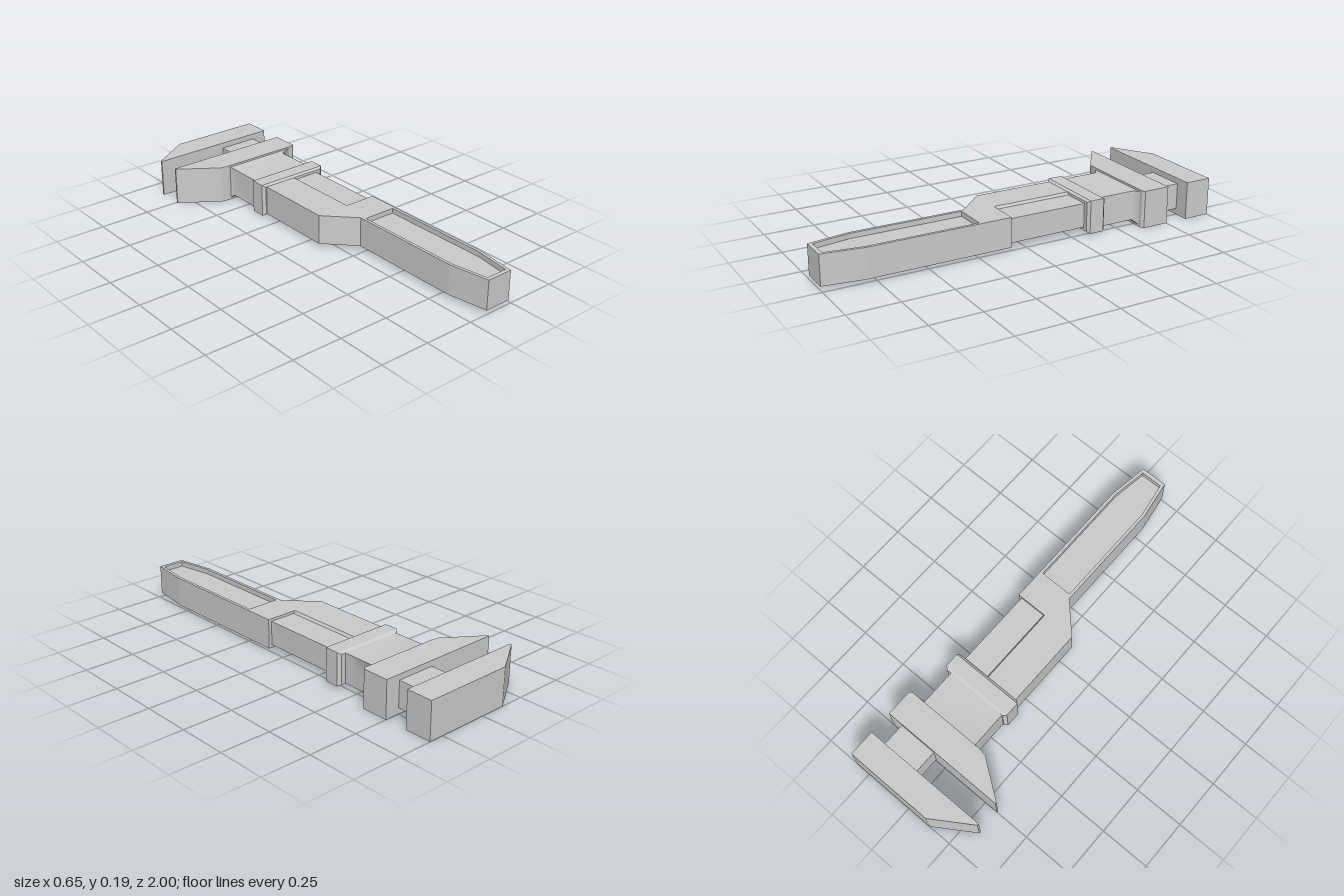
import * as THREE from 'three';
import { mergeVertices } from 'three/addons/utils/BufferGeometryUtils.js';

const material = new THREE.MeshStandardMaterial({ color: 0xcccccc });

// Plate with an [x, z] outline, standing from y0 to y1, with an optional hole
function plate(outline, y0, y1, hole) {
  const toPoints = (list) => list.map(([x, z]) => new THREE.Vector2(x, -z));
  const shape = new THREE.Shape(toPoints(outline));
  if (hole) shape.holes.push(new THREE.Path(toPoints(hole)));
  return new THREE.ExtrudeGeometry(shape, { depth: y1 - y0, bevelEnabled: false })
    .rotateX(-Math.PI / 2).translate(0, y0, 0);
}

// Box-like loft through rectangles [z, x0, x1, y0, y1], listed from front to back
function loft(rings, smooth) {
  const pos = [], index = [];
  const corners = ([z, x0, x1, y0, y1]) => [[x0, y0, z], [x1, y0, z], [x1, y1, z], [x0, y1, z]];
  for (let k = 0; k < 4; k++) {
    rings.forEach((ring, i) => {
      const c = corners(ring), a = pos.length / 3;
      pos.push(...c[k], ...c[(k + 1) % 4]);
      if (i < rings.length - 1) index.push(a, a + 2, a + 1, a + 1, a + 2, a + 3);
    });
  }
  [rings[0], rings[rings.length - 1]].forEach((ring, end) => {
    const a = pos.length / 3;
    corners(ring).forEach((c) => pos.push(...c));
    index.push(...(end ? [a, a + 2, a + 1, a, a + 3, a + 2] : [a, a + 1, a + 2, a, a + 2, a + 3]));
  });
  let geo = new THREE.BufferGeometry();
  geo.setAttribute('position', new THREE.Float32BufferAttribute(pos, 3));
  geo.setIndex(index);
  if (!smooth) geo = geo.toNonIndexed();
  geo.computeVertexNormals();
  return smooth ? geo : mergeVertices(geo);
}

function box(x0, x1, y0, y1, z0, z1) {
  return new THREE.BoxGeometry(x1 - x0, y1 - y0, z1 - z0)
    .translate((x0 + x1) / 2, (y0 + y1) / 2, (z0 + z1) / 2);
}

export function createModel() {
  const model = new THREE.Group();
  model.name = 'adjustableWrench';
  const add = (name, geometry, parent = model) => {
    const mesh = new THREE.Mesh(geometry, material);
    mesh.name = name;
    parent.add(mesh);
  };
  const low = 0.02, high = 0.168, depth = 0.025;

  // Handle: solid core with a raised rim on both faces
  const handle = new THREE.Group();
  handle.name = 'handle';
  model.add(handle);
  const outline = [[-0.07, 0.085], [0.065, 0.225], [0.065, 0.8], [0.097, 1],
    [0.233, 1], [0.262, 0.8], [0.262, 0.085]];
  const recess = [[0.08, 0.245], [0.08, 0.8], [0.11, 0.98],
    [0.22, 0.98], [0.247, 0.8], [0.247, 0.245]];
  add('handleCore', plate(outline, low + depth, high - depth), handle);
  add('handleTopRim', plate(outline, high - depth, high, recess), handle);
  add('handleBottomRim', plate(outline, low, low + depth, recess), handle);

  // Shank, stepped down along its right side
  const section = new THREE.Shape([[-0.07, low], [0.1, low], [0.108, 0.035], [0.245, 0.035],
    [0.245, 0.155], [0.108, 0.155], [0.1, high], [-0.07, high]]
    .map(([x, y]) => new THREE.Vector2(x, y)));
  add('shank', new THREE.ExtrudeGeometry(section, { depth: 0.45, bevelEnabled: false })
    .translate(0, 0, -0.365));

  // Chamfered collar
  add('collar', loft([
    [-0.32, -0.075, 0.268, low, high],
    [-0.332, -0.09, 0.283, 0.012, 0.177],
    [-0.405, -0.09, 0.283, 0.012, 0.177],
    [-0.418, -0.075, 0.268, low, high],
  ], false));

  // Neck flaring into the sliding jaw
  add('neck', loft([
    [-0.41, -0.07, 0.245, low, high],
    [-0.6, -0.07, 0.245, low, high],
    [-0.608, -0.09, 0.31, 0.006, 0.182],
    [-0.616, -0.1, 0.325, 0, 0.188],
  ], true));

  // Jaws and the bar that joins them
  add('slidingJaw', plate([[-0.322, -0.75], [-0.322, -0.742], [-0.14, -0.612], [-0.1, -0.606],
    [0.312, -0.606], [0.325, -0.615], [0.325, -0.75]], 0, 0.188));
  add('jawBar', box(0.052, 0.25, 0.03, 0.16, -0.88, -0.74));
  add('fixedJaw', plate([[-0.325, -0.875], [-0.325, -0.866], [0.325, -0.866], [0.325, -1],
    [-0.13, -1]], 0, 0.188));

  return model;
}
